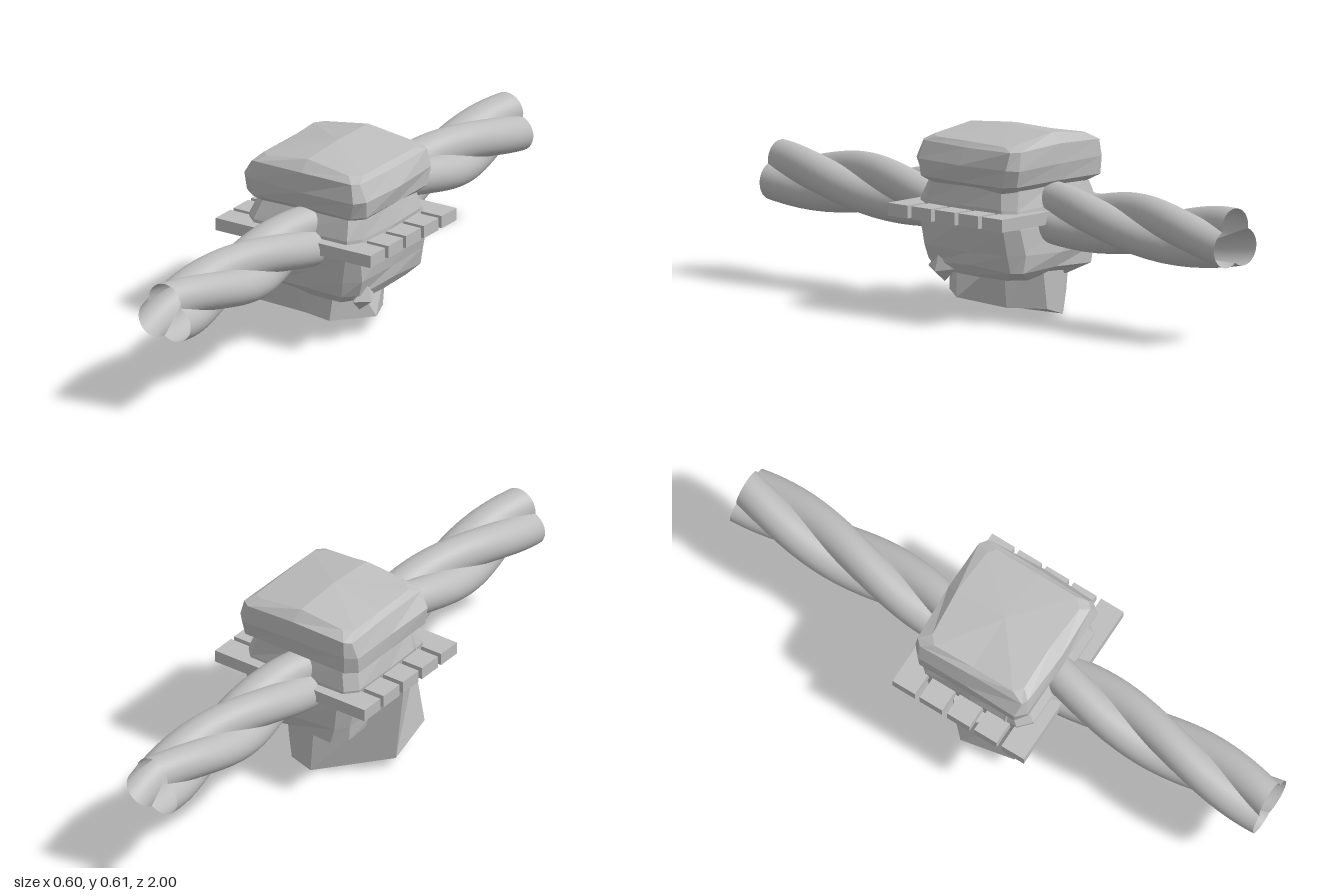
import * as THREE from 'three';

const stone = new THREE.MeshStandardMaterial({ color: 0xbdbdbd });
stone.name = 'plain grey';
stone.side = THREE.DoubleSide;

// Repeatable small offsets that keep the stones irregular
let seed = 7;
const jitter = (a) => {
  seed = (seed * 16807) % 2147483647;
  return (seed / 2147483647 - 0.5) * 2 * a;
};

// Twelve-point stone outline: chamfered corners plus side midpoints
function ring(y, x0, x1, z0, z1, c, ridge = 0, rough = 0.006) {
  const mx = (x0 + x1) / 2, mz = (z0 + z1) / 2;
  const pts = [
    [x1, mz], [x1, z1 - c], [x1 - c, z1], [mx, z1], [x0 + c, z1], [x0, z1 - c],
    [x0, mz], [x0, z0 + c], [x0 + c, z0], [mx, z0], [x1 - c, z0], [x1, z0 + c],
  ];
  return pts.map(([x, z]) => [
    x + jitter(rough),
    y + ridge * Math.max(0, 1 - Math.abs(x) / 0.2) + jitter(rough * 0.6),
    z + jitter(rough),
  ]);
}

// Faceted solid from rings listed bottom to top
function rock(name, rings, bottom, top) {
  const pos = [];
  const n = rings[0].length;
  const tri = (...p) => p.forEach((v) => pos.push(...v));
  for (let i = 0; i < n; i++) {
    const j = (i + 1) % n;
    for (let k = 0; k + 1 < rings.length; k++) {
      const a = rings[k], b = rings[k + 1];
      tri(a[i], b[i], a[j]);
      tri(a[j], b[i], b[j]);
    }
    tri(bottom, rings[0][i], rings[0][j]);
    const last = rings[rings.length - 1];
    tri(top, last[j], last[i]);
  }
  const g = new THREE.BufferGeometry();
  g.setAttribute('position', new THREE.Float32BufferAttribute(pos, 3));
  g.computeVertexNormals();
  const m = new THREE.Mesh(g, stone);
  m.name = name;
  return m;
}

// One rope strand: the outer arc of a lobe, twisted along z
function strand(index) {
  const off = 0.045, r = 0.062, pitch = 1.2, across = 16, along = 120;
  const cusp = off * 0.5 + Math.sqrt(r * r - off * off * 0.75);
  const half = Math.atan2(cusp * Math.sin(Math.PI / 3), cusp * 0.5 - off);
  const pos = [], idx = [];
  for (let k = 0; k <= along; k++) {
    const z = -1 + (2 * k) / along;
    const turn = Math.PI / 2 + (index * Math.PI * 2) / 3 + ((z - 1) / pitch) * Math.PI * 2;
    for (let i = 0; i <= across; i++) {
      const a = -half + (2 * half * i) / across;
      const u = off + r * Math.cos(a), v = r * Math.sin(a);
      pos.push(
        u * Math.cos(turn) - v * Math.sin(turn),
        0.339 + u * Math.sin(turn) + v * Math.cos(turn),
        z
      );
      if (k < along && i < across) {
        const p = k * (across + 1) + i, q = p + across + 1;
        idx.push(p, p + 1, q, p + 1, q + 1, q);
      }
    }
  }
  const g = new THREE.BufferGeometry();
  g.setAttribute('position', new THREE.Float32BufferAttribute(pos, 3));
  g.setIndex(idx);
  g.computeVertexNormals();
  const m = new THREE.Mesh(g, stone);
  m.name = 'ropeStrand' + (index + 1);
  return m;
}

export function createModel() {
  seed = 7;
  const model = new THREE.Group();
  model.name = 'ropeAndStoneBridge';

  // Twisted hollow rope with open ends
  const rope = new THREE.Group();
  rope.name = 'rope';
  for (let i = 0; i < 3; i++) rope.add(strand(i));
  model.add(rope);

  // Row of five planks
  const planks = new THREE.Group();
  planks.name = 'planks';
  for (let i = 0; i < 5; i++) {
    const p = new THREE.Mesh(new THREE.BoxGeometry(0.6, 0.042, 0.086), stone);
    p.position.set(0, 0.339, (i - 2) * 0.104);
    p.name = 'plank' + (i + 1);
    planks.add(p);
  }
  model.add(planks);

  // Cap stone with a shallow ridge
  model.add(rock('capStone', [
    ring(0.42, -0.19, 0.2, -0.19, 0.17, 0.04),
    ring(0.448, -0.23, 0.23, -0.225, 0.2, 0.035),
    ring(0.505, -0.234, 0.238, -0.232, 0.208, 0.03),
    ring(0.56, -0.21, 0.212, -0.225, 0.2, 0.022, 0.012),
    ring(0.574, -0.19, 0.19, -0.19, 0.165, 0.025, 0.03),
  ], [0, 0.42, 0], [0, 0.611, -0.01]));

  // Middle stone, wrapped around the rope
  model.add(rock('middleStone', [
    ring(0.14, -0.14, 0.18, -0.19, 0.17, 0.05, 0, 0.012),
    ring(0.17, -0.18, 0.202, -0.225, 0.195, 0.04, 0, 0.01),
    ring(0.22, -0.2, 0.207, -0.235, 0.205, 0.04, 0, 0.008),
    ring(0.31, -0.215, 0.222, -0.225, 0.222, 0.04),
    ring(0.37, -0.225, 0.22, -0.215, 0.21, 0.04),
    ring(0.44, -0.205, 0.205, -0.195, 0.18, 0.04),
  ], [0.02, 0.13, 0], [0, 0.44, 0]));

  // Angular foot stone leaning out to one side
  model.add(rock('footStone', [
    [
      [0.19, 0.06, 0.05], [0.09, 0.063, 0.175], [0, 0.075, 0.18], [-0.23, 0.077, 0.17],
      [-0.255, 0.04, -0.02], [-0.045, 0.006, -0.2], [0.03, 0.03, -0.2], [0.115, 0.033, -0.1],
    ],
    [
      [0.135, 0.19, 0.1], [0.1, 0.18, 0.16], [-0.07, 0.23, 0.18], [-0.195, 0.28, 0.165],
      [-0.285, 0.305, -0.02], [-0.06, 0.28, -0.19], [0.05, 0.25, -0.19], [0.13, 0.2, -0.1],
    ],
  ], [-0.045, 0.002, 0], [-0.05, 0.26, 0]));

  // Loose chips: lower corner and the hollow beside the foot stone
  const chips = [
    [0.185, 0.15, 0.12, 0.035, 0.05, 0.06],
    [-0.185, 0.22, 0.165, 0.022, 0.055, 0.03],
    [-0.19, 0.38, 0.13, 0.04, 0.05, 0.05],
  ];
  chips.forEach(([x, y, z, sx, sy, sz], i) => {
    const c = new THREE.Mesh(new THREE.OctahedronGeometry(1, 0), stone);
    c.position.set(x, y, z);
    c.scale.set(sx, sy, sz);
    c.rotation.z = 0.3 * (i - 1);
    c.name = 'chip' + (i + 1);
    model.add(c);
  });

  return model;
}
